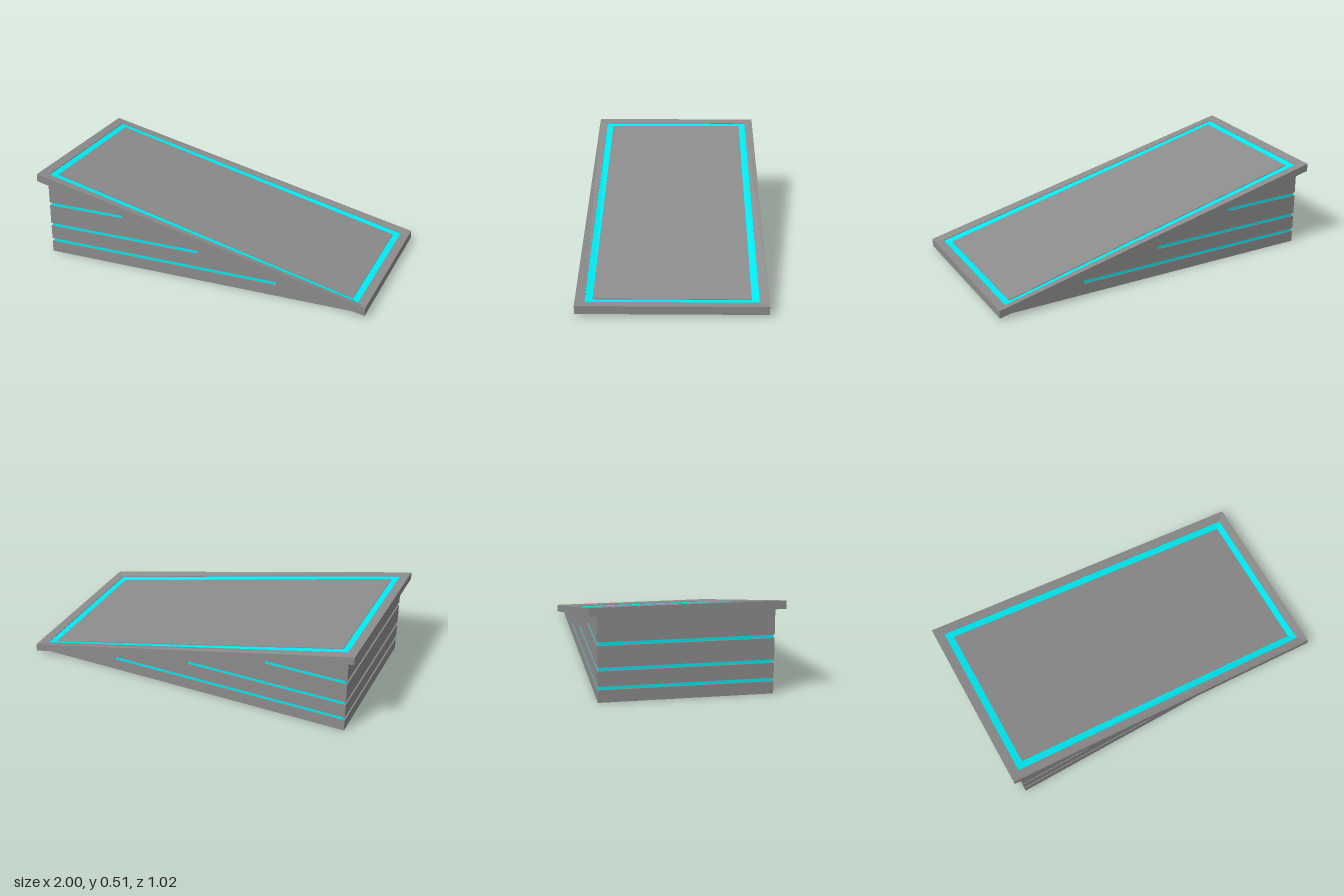
import * as THREE from 'three';

const SLOPE = -0.2275;       // rise of the deck per unit of x
const UNDERSIDE = 0.24;      // height of the deck's underside at x = 0
const THICK = 0.045;
const LOW_EDGE = 0.058;      // height of the deck's top along its low end

const grey = new THREE.MeshStandardMaterial({ color: 0x8c8c8c, flatShading: true });
const cyan = new THREE.MeshStandardMaterial({ color: 0x00eaf2, flatShading: true });

const undersideAt = (x) => UNDERSIDE + SLOPE * x;

// Rectangle outline centred on the origin
const rect = (hx, hz, Type = THREE.Shape) =>
  new Type([[-hx, -hz], [hx, -hz], [hx, hz], [-hx, hz]].map(([x, y]) => new THREE.Vector2(x, y)));

// Rectangular ring
function ring(ox, oz, ix, iz) {
  const s = rect(ox, oz);
  s.holes.push(rect(ix, iz, THREE.Path));
  return s;
}

// Plate laid on the slope; its top runs down to a common level at the low end
function slopedPlate(shape, recess = 0) {
  const g = new THREE.ExtrudeGeometry(shape, { depth: 1, bevelEnabled: false });
  g.rotateX(-Math.PI / 2);
  const p = g.attributes.position;
  for (let i = 0; i < p.count; i++) {
    const x = p.getX(i);
    const top = (x > 0 ? LOW_EDGE : undersideAt(x) + THICK) - recess;
    p.setY(i, p.getY(i) > 0.5 ? top : undersideAt(x));
  }
  g.computeVertexNormals();
  return g;
}

export function createModel() {
  const group = new THREE.Group();
  const add = (name, geometry, material) => {
    const mesh = new THREE.Mesh(geometry, material);
    mesh.name = name;
    group.add(mesh);
    return mesh;
  };

  // Wedge body, its profile notched from the tall end by three slots
  const hx = 0.955, hz = 0.465, slotH = 0.019;
  const slots = [
    { y: 0.067, end: 0.475 },
    { y: 0.168, end: 0 },
    { y: 0.302, end: -0.475 },
  ];
  const profile = new THREE.Shape();
  profile.moveTo(-hx, 0);
  profile.lineTo(hx, 0);
  profile.lineTo(hx, undersideAt(hx));
  profile.lineTo(-hx, undersideAt(-hx));
  for (const { y, end } of [...slots].reverse()) {
    profile.lineTo(-hx, y + slotH);
    profile.lineTo(end, y + slotH);
    profile.lineTo(end, y);
    profile.lineTo(-hx, y);
  }
  const body = new THREE.ExtrudeGeometry(profile, { depth: 2 * hz, bevelEnabled: false });
  body.translate(0, 0, -hz);
  add('wedgeBody', body, grey);

  // Light strips set back inside the slots, on the front, back and tall end
  slots.forEach(({ y, end }, i) => {
    const x0 = -hx + 0.009;
    const strip = add(`lightStrip${i + 1}`,
      new THREE.BoxGeometry(end - x0, slotH, 2 * (hz - 0.005)), cyan);
    strip.position.set((x0 + end) / 2, y + slotH / 2, 0);
  });

  // Sloping deck: outer rim, slightly recessed light border and centre panel
  add('deckRim', slopedPlate(ring(1, 0.51, 0.947, 0.46)), grey);
  add('deckLightBorder', slopedPlate(ring(0.947, 0.46, 0.907, 0.42), 0.004), cyan);
  add('deckPanel', slopedPlate(rect(0.907, 0.42)), grey);

  return group;
}
